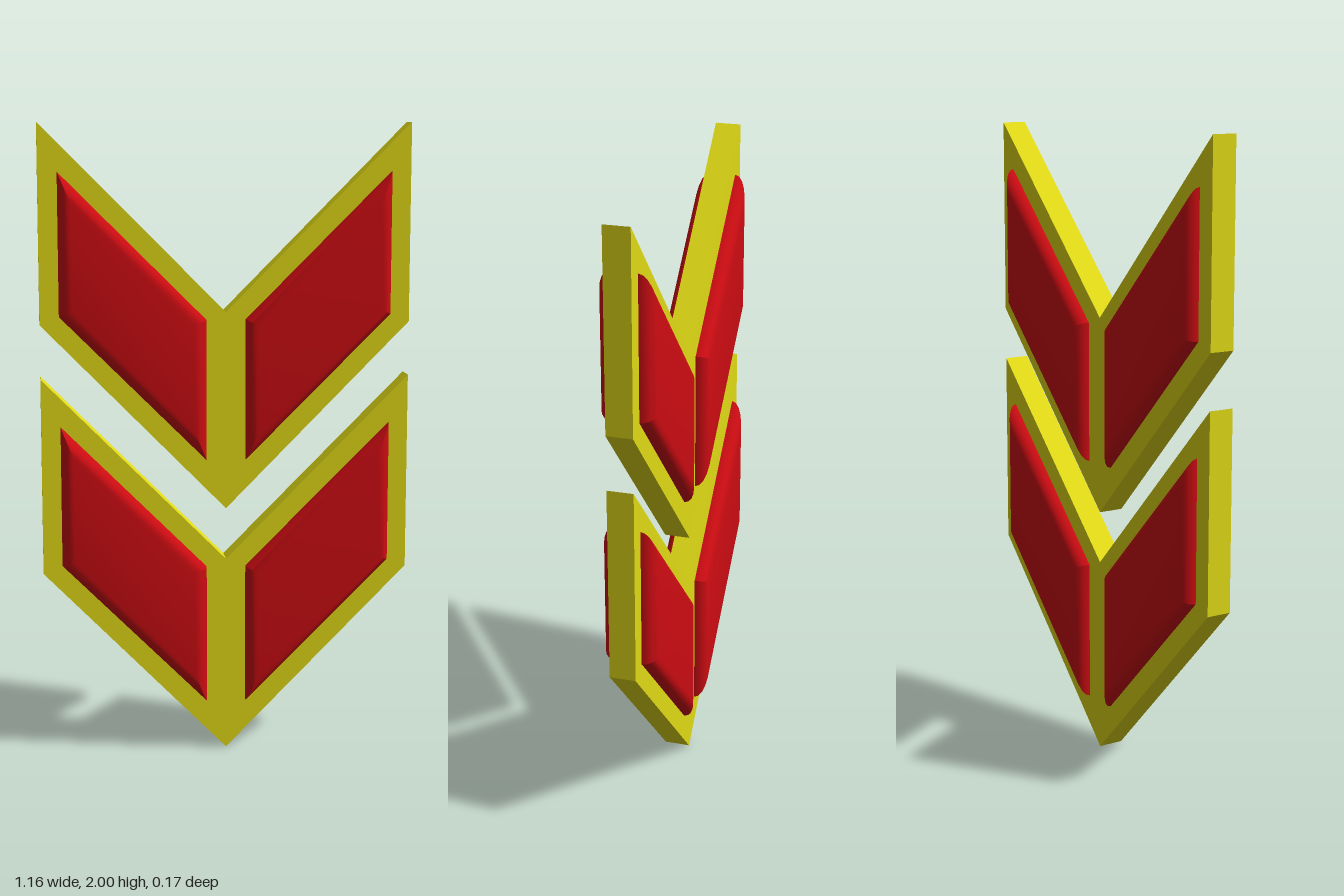
import * as THREE from 'three';
import { toCreasedNormals } from 'three/addons/utils/BufferGeometryUtils.js';

const PITCH = 0.79; // vertical spacing of the two chevrons

// Flat V-shaped plate
function frameGeometry() {
  const outline = [[0, 0], [0.58, 0.59], [0.58, 1.21], [0, 0.625], [-0.58, 1.21], [-0.58, 0.59]];
  const shape = new THREE.Shape(outline.map(([x, y]) => new THREE.Vector2(x, y)));
  return new THREE.ExtrudeGeometry(shape, { depth: 0.082, bevelEnabled: false }).translate(0, 0, -0.041);
}

// Slanted pad with rounded rims, lofted from inset parallelograms stacked along z
function padGeometry() {
  const bevel = 0.04, half = 0.083, steps = 5;
  const levels = [];
  for (let i = 0; i <= steps; i++) {
    const a = (i / steps) * Math.PI / 2;
    levels.push([bevel * (1 - Math.sin(a)), half - bevel + bevel * Math.cos(a)]);
  }
  const sections = [
    ...levels.map(([d, z]) => [d, -z]),
    ...levels.reverse(),
  ];
  const pos = [], index = [];
  for (const [d, z] of sections) {
    const x0 = 0.062 + d, x1 = 0.52 - d, s = d * Math.SQRT2;
    const low = 0.095 + s, high = 0.54 - s;
    pos.push(x0, x0 + low, z, x1, x1 + low, z, x1, x1 + high, z, x0, x0 + high, z);
  }
  const last = sections.length - 1;
  for (let r = 0; r < last; r++) {
    for (let k = 0; k < 4; k++) {
      const a = r * 4 + k, b = r * 4 + (k + 1) % 4;
      index.push(a, b, b + 4, a, b + 4, a + 4);
    }
  }
  const t = last * 4;
  index.push(0, 2, 1, 0, 3, 2, t, t + 1, t + 2, t, t + 2, t + 3);
  const g = new THREE.BufferGeometry();
  g.setAttribute('position', new THREE.Float32BufferAttribute(pos, 3));
  g.setIndex(index);
  return toCreasedNormals(g, 0.5);
}

export function createModel() {
  const model = new THREE.Group();
  model.name = 'doubleChevron';
  const yellow = new THREE.MeshStandardMaterial({ color: 0xe0d916 });
  const red = new THREE.MeshStandardMaterial({ color: 0xcc0c12 });
  const frameGeo = frameGeometry(), padGeo = padGeometry();

  ['lower', 'upper'].forEach((level, i) => {
    const chevron = new THREE.Group();
    chevron.name = level + 'Chevron';
    chevron.position.y = i * PITCH;

    const frame = new THREE.Mesh(frameGeo, yellow);
    frame.name = 'frame';
    chevron.add(frame);

    // The pad is symmetric in z, so a half turn gives its mirror image
    ['left', 'right'].forEach((side, j) => {
      const pad = new THREE.Mesh(padGeo, red);
      pad.name = side + 'Pad';
      pad.rotation.y = j * Math.PI;
      chevron.add(pad);
    });
    model.add(chevron);
  });
  return model;
}
